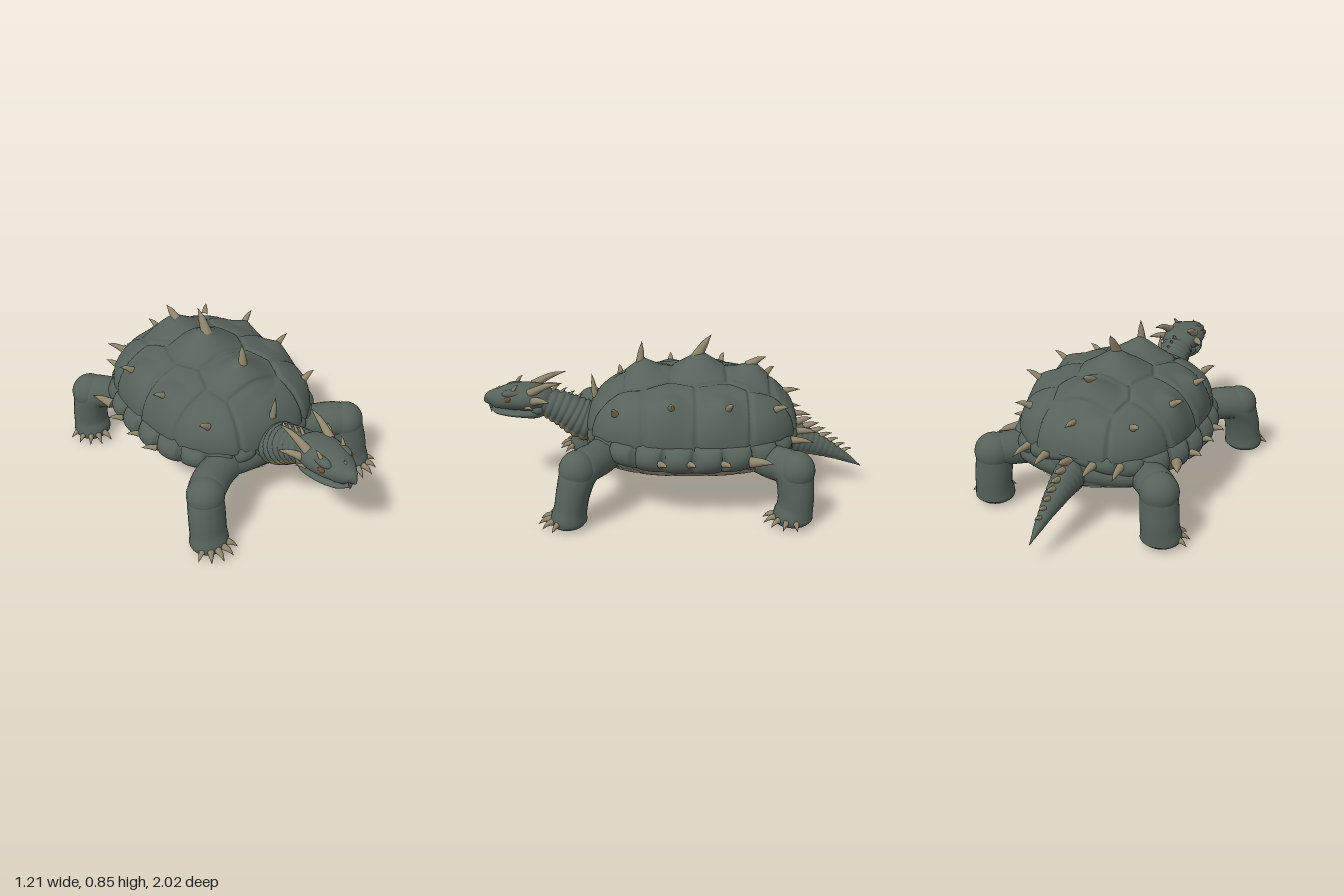
import * as THREE from 'three';
import { mergeVertices } from 'three/addons/utils/BufferGeometryUtils.js';

const V = (x, y, z) => new THREE.Vector3(x, y, z);
const mat = (name, color) => Object.assign(new THREE.MeshStandardMaterial({ color }), { name });
const lerp = THREE.MathUtils.lerp;

// Smooth surface from a rule fn(u, v) -> Vector3
function surface(fn, nu, nv) {
  const g = new THREE.PlaneGeometry(1, 1, nu, nv), p = g.attributes.position;
  for (let i = 0; i < p.count; i++) {
    const q = fn(p.getX(i) + 0.5, p.getY(i) + 0.5);
    p.setXYZ(i, q.x, q.y, q.z);
  }
  g.deleteAttribute('uv');
  g.deleteAttribute('normal');
  const m = mergeVertices(g);
  m.computeVertexNormals();
  return m;
}

// Elliptical loft through stations [x, y, z, halfWidth, halfHeight]
function loft(stations, { ref = V(0, 1, 0), nu = 24, nv = 30, rings = 0, depth = 0.08, from = 0, to = Math.PI * 2, scale = 1, shape = (p) => p } = {}) {
  const path = new THREE.CatmullRomCurve3(stations.map((s) => V(s[0], s[1], s[2])));
  const size = new THREE.CatmullRomCurve3(stations.map((s) => V(s[3], s[4], 0)), false, 'catmullrom', 0.4);
  return surface((u, v) => {
    const t = path.getTangent(v), a = from + (to - from) * u, r = size.getPoint(v);
    const side = ref.clone().cross(t).normalize(), up = t.clone().cross(side);
    const k = scale * (rings ? 1 - depth * (0.6 - Math.abs(Math.sin(v * rings * Math.PI))) : 1);
    return shape(path.getPoint(v)
      .addScaledVector(side, Math.max(r.x, 0) * k * Math.cos(a))
      .addScaledVector(up, Math.max(r.y, 0) * k * Math.sin(a)));
  }, nu, nv);
}

// Shell plan: rounded oblong around CZ
const CZ = -0.08, AX = 0.447, BZ = 0.55;
function plan(u, k, y, grow = 0) {
  const a = u * Math.PI * 2, s = Math.sin(a), c = Math.cos(a);
  const f = k * Math.pow(Math.abs(s) ** 2.55 + Math.abs(c) ** 2.55, -1 / 2.55);
  return V(s * (AX * f + grow), y, CZ + c * (BZ * f + grow));
}
const flankAt = (u) => Math.abs(Math.sin(u * Math.PI * 2)) ** 0.8;
const bellyRim = (u) => lerp(0.21, 0.265, flankAt(u));

// Scute centres [x, z, peak height, peak radius]
const scutes = [
  [0, 0.39, 0.01, 0.1], [0, 0.18, 0.09, 0.17], [0, -0.12, 0.115, 0.2], [0, -0.4, 0.08, 0.16], [0, -0.58, 0.01, 0.1],
];
for (const s of [1, -1]) {
  for (const [z, h] of [[0.3, 0.02], [0.04, 0.045], [-0.23, 0.045], [-0.5, 0.02]]) scutes.push([s * 0.365, z, h, 0.11]);
}

function shellPoint(u, v) {
  const k = Math.cos(v * Math.PI / 2);
  const p = plan(u, k, 0.38 + 0.268 * Math.max(0, 1 - k ** 3.1) ** 0.5);
  const d = scutes.map((s) => Math.hypot(p.x - s[0], p.z - s[1])).sort((a, b) => a - b);
  const groove = Math.exp(-(((d[1] - d[0]) / 0.02) ** 2));
  const c = V(0, 0.3, CZ);
  p.sub(c).multiplyScalar(1.005 - 0.03 * groove).add(c);
  for (const [x, z, h, r] of scutes) p.y += h * Math.max(0, 1 - Math.hypot(p.x - x * 1.04, p.z - z) / r) ** 1.25;
  return p;
}

export function createModel() {
  const skin = mat('slateGreenSkin', 0x56625a);
  const horn = mat('boneHorn', 0x90866d);
  const belly = mat('tanBelly', 0x9c9178);
  const throatMat = mat('tanThroat', 0x81765e);
  const eyeMat = mat('brownEye', 0x6f4e34);
  const root = new THREE.Group();
  root.name = 'spikedTurtle';

  const add = (name, geo, material, parent = root) => {
    const m = new THREE.Mesh(geo, material);
    m.name = name;
    parent.add(m);
    return m;
  };
  const ball = (name, pos, size, material, parent) => {
    const m = add(name, new THREE.SphereGeometry(1, 32, 20), material, parent);
    m.position.set(...pos);
    m.scale.set(...size);
  };
  const group = (name) => {
    const g = new THREE.Group();
    g.name = name;
    root.add(g);
    return g;
  };
  // Slightly curved horn; bend lifts the middle
  const spike = (name, a, b, r, parent, bend = 0.006) => {
    const at = (t) => a.map((n, i) => n + (b[i] - n) * t);
    const mid = at(0.5);
    mid[1] += bend;
    const upright = Math.abs(b[1] - a[1]) > Math.hypot(b[0] - a[0], b[2] - a[2]);
    add(name, loft([[...at(-0.1), r, r], [...mid, r * 0.62, r * 0.62], [...b, 0.0005, 0.0005]],
      { ref: upright ? V(0, 0, 1) : V(0, 1, 0), nu: 10, nv: 7 }), horn, parent);
  };

  // Shell dome
  add('shellDome', surface(shellPoint, 280, 80), skin);

  // Scalloped rim plates, lower and wider at the flanks than at the ends
  add('rimPlates', surface((u, v) => {
    const flank = flankAt(u), low = lerp(0.36, 0.255, flank);
    const b = Math.abs(Math.sin(u * 24 * Math.PI)) ** 0.35;
    const bulge = Math.sin(v * Math.PI) ** 0.5 * (0.3 + 0.7 * b);
    return plan(u, 0.93, low + (0.405 - low) * v, 0.01 + 0.072 * bulge * (0.25 + 0.75 * flank));
  }, 288, 12), skin);

  // Body wall between shell and belly plate, with full chest and hips
  add('body', surface((u, v) => plan(u, 0.93, lerp(bellyRim(u) - 0.005, 0.42, v),
    0.03 * Math.sin(v * Math.PI) * (1 - flankAt(u))), 120, 8), skin);
  ball('chest', [0, 0.297, 0.35], [0.4, 0.098, 0.125], skin);
  ball('hips', [0, 0.29, -0.49], [0.38, 0.095, 0.125], skin);

  // Belly plate with a centre seam and slanted cross seams
  add('bellyPlate', surface((u, v) => {
    const k = Math.sin(v * Math.PI / 2), p = plan(u, k * 0.955, 0);
    const q = (p.z + 0.35 * Math.abs(p.x) + 2) / 0.165;
    const cross = Math.abs(q - Math.round(q)) * 0.165;
    const seam = Math.min(cross, Math.abs(p.x), Math.abs(Math.abs(p.x) - 0.24));
    const rim = bellyRim(u);
    p.y = rim - (rim - 0.163) * Math.max(0, 1 - k ** 3.5) ** 0.75 + 0.007 * Math.exp(-((seam / 0.01) ** 2));
    return p;
  }, 160, 50), belly);

  // Shell spikes
  const shellSpikes = group('shellSpikes');
  spike('ridgeSpike', [0, 0.7, 0.19], [0, 0.81, 0.18], 0.025, shellSpikes, 0);
  spike('ridgeSpike', [0, 0.735, -0.11], [0, 0.845, -0.18], 0.03, shellSpikes);
  spike('ridgeSpike', [0, 0.68, -0.38], [0, 0.725, -0.465], 0.026, shellSpikes);
  spike('ridgeSpike', [0, 0.52, 0.43], [0, 0.635, 0.445], 0.019, shellSpikes, 0);
  spike('ridgeSpike', [0, 0.53, -0.55], [0, 0.545, -0.65], 0.02, shellSpikes);
  for (const s of [1, -1]) {
    for (const [x, y, z, dx, dy, dz] of [
      [0.32, 0.53, 0.31, 0.055, 0.035, 0.01], [0.375, 0.575, 0.03, 0.068, 0.04, 0.0],
      [0.375, 0.575, -0.25, 0.068, 0.04, -0.02], [0.285, 0.54, -0.5, 0.05, 0.025, -0.05],
    ]) spike('flankSpike', [s * x, y, z], [s * (x + dx), y + dy, z + dz], 0.019, shellSpikes);
    for (const z of [0.08, -0.06, -0.23]) spike('rimSpike', [s * 0.48, 0.325, z], [s * 0.54, 0.335, z - 0.03], 0.018, shellSpikes);
    spike('rimSpike', [s * 0.455, 0.325, -0.37], [s * 0.5, 0.335, -0.47], 0.028, shellSpikes);
    spike('rearRimSpike', [s * 0.13, 0.36, -0.625], [s * 0.13, 0.35, -0.735], 0.022, shellSpikes);
    spike('rearRimSpike', [s * 0.255, 0.36, -0.58], [s * 0.27, 0.35, -0.7], 0.022, shellSpikes);
  }

  // Legs with a rounded joint and a fan of five claws
  const legs = {
    frontLeg: { turn: 0.15, joint: [0.467, 0.295, 0.487], path: [[0.18, 0.29, 0.34, 0.09, 0.09], [0.34, 0.298, 0.4, 0.088, 0.094],
      [0.455, 0.29, 0.475, 0.09, 0.095], [0.478, 0.19, 0.51, 0.097, 0.085], [0.484, 0.1, 0.527, 0.098, 0.082], [0.487, 0.04, 0.537, 0.103, 0.09],
      [0.487, 0.012, 0.537, 0.08, 0.072], [0.487, 0, 0.537, 0, 0]] },
    backLeg: { turn: 0.7, joint: [0.458, 0.285, -0.583], path: [[0.18, 0.28, -0.36, 0.09, 0.09], [0.35, 0.285, -0.475, 0.085, 0.09],
      [0.445, 0.28, -0.565, 0.09, 0.095], [0.462, 0.18, -0.585, 0.096, 0.09], [0.466, 0.1, -0.585, 0.096, 0.09], [0.468, 0.04, -0.575, 0.102, 0.098],
      [0.468, 0.012, -0.575, 0.08, 0.076], [0.468, 0, -0.575, 0, 0]] },
  };
  for (const [name, { turn, joint, path }] of Object.entries(legs)) for (const s of [1, -1]) {
    const g = group((s > 0 ? 'left ' : 'right ') + name);
    add('leg', loft(path.map(([x, ...r]) => [s * x, ...r]),
      { ref: V(0, 0, 1), nv: 44, shape: (p) => p.setY(Math.max(0, p.y)) }), skin, g);
    ball('joint', [s * joint[0], joint[1], joint[2]], [0.097, 0.097, 0.093], skin, g);
    const [fx, , fz] = path[7];
    for (let i = -2; i <= 2; i++) {
      const a = turn + i * 0.46, c = (r, y) => [s * (fx + r * 0.9 * Math.sin(a)), y, fz + r * Math.cos(a)];
      spike('claw', c(0.08, 0.042), c(0.152, 0.02), 0.021, g, 0.012);
    }
  }

  // Ringed neck and tan throat
  const neck = [[0, 0.35, 0.38, 0.12, 0.11], [0, 0.385, 0.5, 0.115, 0.105], [0, 0.44, 0.6, 0.1, 0.09],
    [0, 0.482, 0.7, 0.088, 0.07], [0, 0.49, 0.76, 0.07, 0.04]];
  add('neck', loft(neck, { rings: 13, nv: 91 }), skin);
  add('throat', loft(neck, { rings: 13, nv: 91, scale: 1.015, from: Math.PI * 1.17, to: Math.PI * 1.83 }), throatMat);
  for (let i = 0; i < 4; i++) spike('neckSpine', [0, 0.49 + i * 0.018, 0.53 + i * 0.04], [0, 0.523 + i * 0.017, 0.495 + i * 0.04], 0.01);

  // Head with a blunt snout, flat upper jaw line and a separate lower jaw
  const head = group('head');
  add('skull', loft([[0, 0.5, 0.63, 0.02, 0.02], [0, 0.505, 0.69, 0.09, 0.06], [0, 0.51, 0.78, 0.114, 0.07], [0, 0.51, 0.86, 0.104, 0.068],
    [0, 0.502, 0.93, 0.076, 0.056], [0, 0.492, 0.978, 0.04, 0.046], [0, 0.48, 0.995, 0.012, 0.03], [0, 0.47, 1, 0.001, 0.01]],
  { nu: 36, nv: 44, shape: (p) => p.setY(Math.max(0.456, p.y)) }), skin, head);
  add('lowerJaw', loft([[0, 0.445, 0.65, 0.03, 0.02], [0, 0.44, 0.74, 0.098, 0.04], [0, 0.434, 0.85, 0.09, 0.026],
    [0, 0.437, 0.94, 0.058, 0.018], [0, 0.443, 0.985, 0.01, 0.006]],
  { nu: 30, shape: (p) => p.setY(Math.min(0.449, p.y)) }), skin, head);
  // Cheeks close the back of the mouth
  ball('cheeks', [0, 0.46, 0.725], [0.102, 0.045, 0.055], skin, head);
  const beak = add('beak', new THREE.ConeGeometry(0.016, 0.055, 10), skin, head);
  beak.rotation.x = Math.PI;
  beak.position.set(0, 0.448, 0.982);
  for (const s of [1, -1]) {
    ball('brow', [s * 0.066, 0.545, 0.85], [0.028, 0.026, 0.06], skin, head);
    ball('nostrilRidge', [s * 0.026, 0.53, 0.945], [0.016, 0.016, 0.026], skin, head);
    ball('eye', [s * 0.092, 0.522, 0.875], [0.013, 0.015, 0.021], eyeMat, head);
    spike('crownHorn', [s * 0.075, 0.555, 0.75], [s * 0.1, 0.615, 0.59], 0.024, head, 0.012);
    spike('cheekHorn', [s * 0.098, 0.515, 0.74], [s * 0.165, 0.528, 0.65], 0.023, head);
    spike('browSpike', [s * 0.072, 0.563, 0.85], [s * 0.082, 0.6, 0.82], 0.012, head);
    spike('cheekSpike', [s * 0.1, 0.48, 0.78], [s * 0.13, 0.475, 0.74], 0.012, head);
  }
  spike('noseSpike', [0, 0.545, 0.94], [0, 0.57, 0.932], 0.011, head, 0);

  // Ringed tail with tan underside and a row of spines
  const tail = [[0, 0.29, -0.5, 0.085, 0.095], [0, 0.275, -0.62, 0.076, 0.088], [0, 0.232, -0.75, 0.056, 0.06],
    [0, 0.168, -0.89, 0.028, 0.03], [0, 0.105, -1, 0.002, 0.002]];
  add('tail', loft(tail, { rings: 18, nv: 108, depth: 0.05 }), skin);
  add('tailUnderside', loft(tail, { rings: 18, nv: 108, depth: 0.05, scale: 1.015, from: Math.PI * 1.2, to: Math.PI * 1.8 }), throatMat);
  for (let i = 0; i < 7; i++) {
    const z = -0.63 - i * 0.045, y = 0.354 - i * 0.027, k = 1 - i * 0.085;
    spike('tailSpine', [0, y, z], [0, y + 0.03 * k, z - 0.095 * k], 0.025 * k);
  }
  return root;
}
